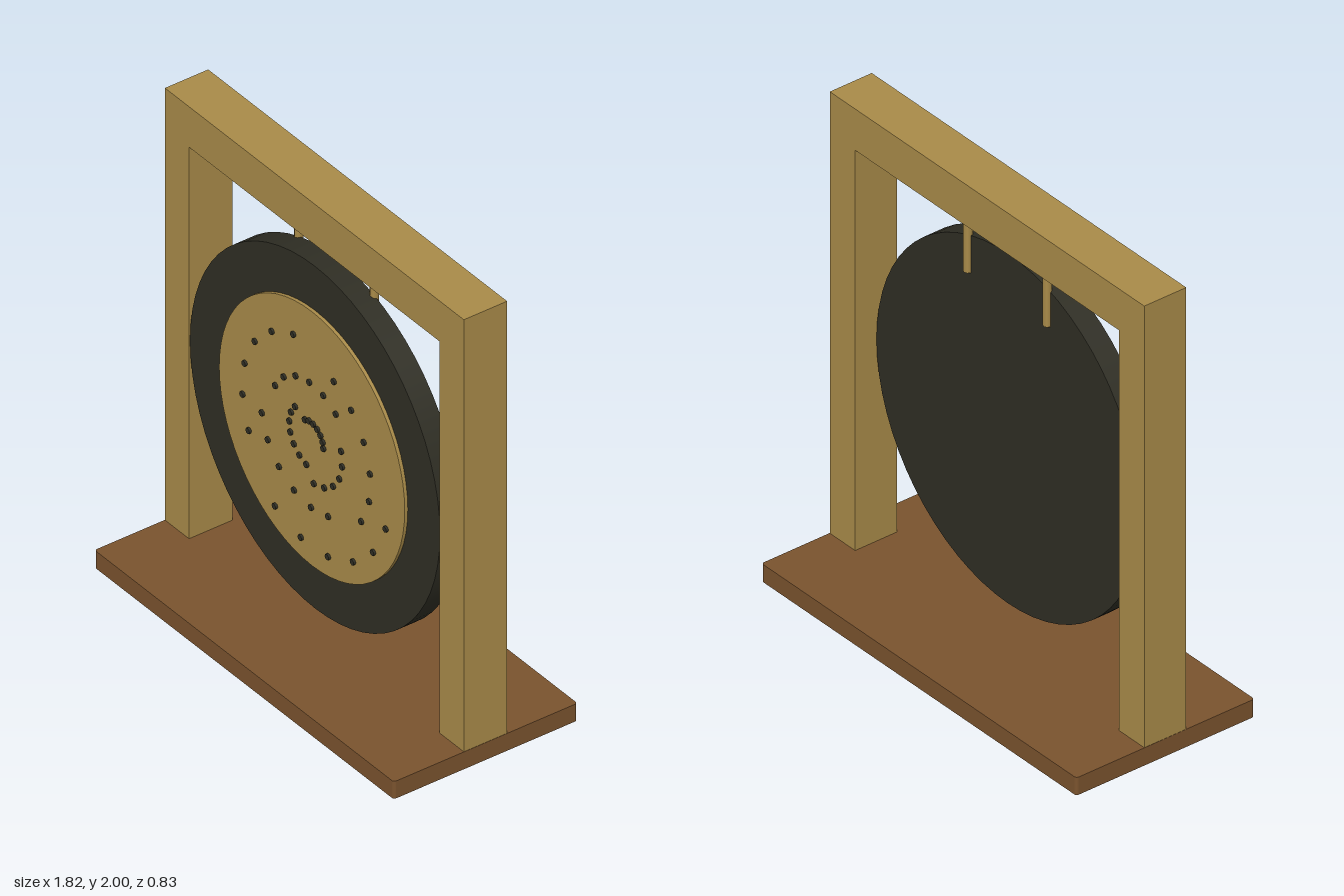
import * as THREE from 'three';

const material = (name, color) => {
  const m = new THREE.MeshStandardMaterial({ color });
  m.name = name;
  return m;
};

export function createModel() {
  const gong = new THREE.Group();
  gong.name = 'gong';
  const gold = material('golden wood', 0xa98b49);
  const brown = material('brown wood', 0x7a532e);
  const dark = material('dark metal', 0x2f2e24);

  const add = (name, geometry, mat, x, y, z, parent = gong) => {
    const mesh = new THREE.Mesh(geometry, mat);
    mesh.name = name;
    mesh.position.set(x, y, z);
    parent.add(mesh);
    return mesh;
  };
  // Round plate whose axis runs along z
  const plate = (radius, depth, sides) =>
    new THREE.CylinderGeometry(radius, radius, depth, sides).rotateX(Math.PI / 2);

  // Base board with slightly rounded upright corners
  const W = 0.911, D = 0.416, R = 0.012;
  const outline = new THREE.Shape();
  outline.absarc(W - R, D - R, R, 0, Math.PI / 2);
  outline.absarc(-W + R, D - R, R, Math.PI / 2, Math.PI);
  outline.absarc(-W + R, -D + R, R, Math.PI, Math.PI * 1.5);
  outline.absarc(W - R, -D + R, R, Math.PI * 1.5, Math.PI * 2);
  const board = new THREE.ExtrudeGeometry(outline, { depth: 0.077, bevelEnabled: false, curveSegments: 4 });
  add('base', board.rotateX(-Math.PI / 2), brown, 0, 0.001, 0);

  // Frame: the posts pass right through the base
  const post = new THREE.BoxGeometry(0.147, 1.82, 0.196);
  const hanger = new THREE.CylinderGeometry(0.018, 0.018, 0.3, 8);
  for (const [side, s] of [['left', 1], ['right', -1]]) {
    add(side + 'Post', post, gold, s * 0.8365, 0.91, 0);
    add(side + 'Hanger', hanger, gold, s * 0.23, 1.68, -0.002);
  }
  add('crossbeam', new THREE.BoxGeometry(1.82, 0.18, 0.196), gold, 0, 1.91, 0);

  // Disc and its raised face
  add('disc', plate(0.761, 0.095, 64), dark, 0, 0.96, 0.0475);
  add('discFace', plate(0.565, 0.02, 64), gold, 0, 0.96, 0.099);

  // Studs: short arcs on growing rings, each turned by the golden angle
  const studs = new THREE.Group();
  studs.name = 'studs';
  gong.add(studs);
  const stud = plate(0.0125, 0.014, 8);
  for (let ring = 0; ring < 8; ring++) {
    const radius = 0.075 + 0.0573 * ring;
    const count = ring < 2 ? 7 : 6;
    for (let i = 0; i < count; i++) {
      const a = THREE.MathUtils.degToRad(137.5 * ring + 20 * i);
      add('stud', stud, dark, radius * Math.cos(a), 0.96 + radius * Math.sin(a), 0.112, studs);
    }
  }
  return gong;
}
